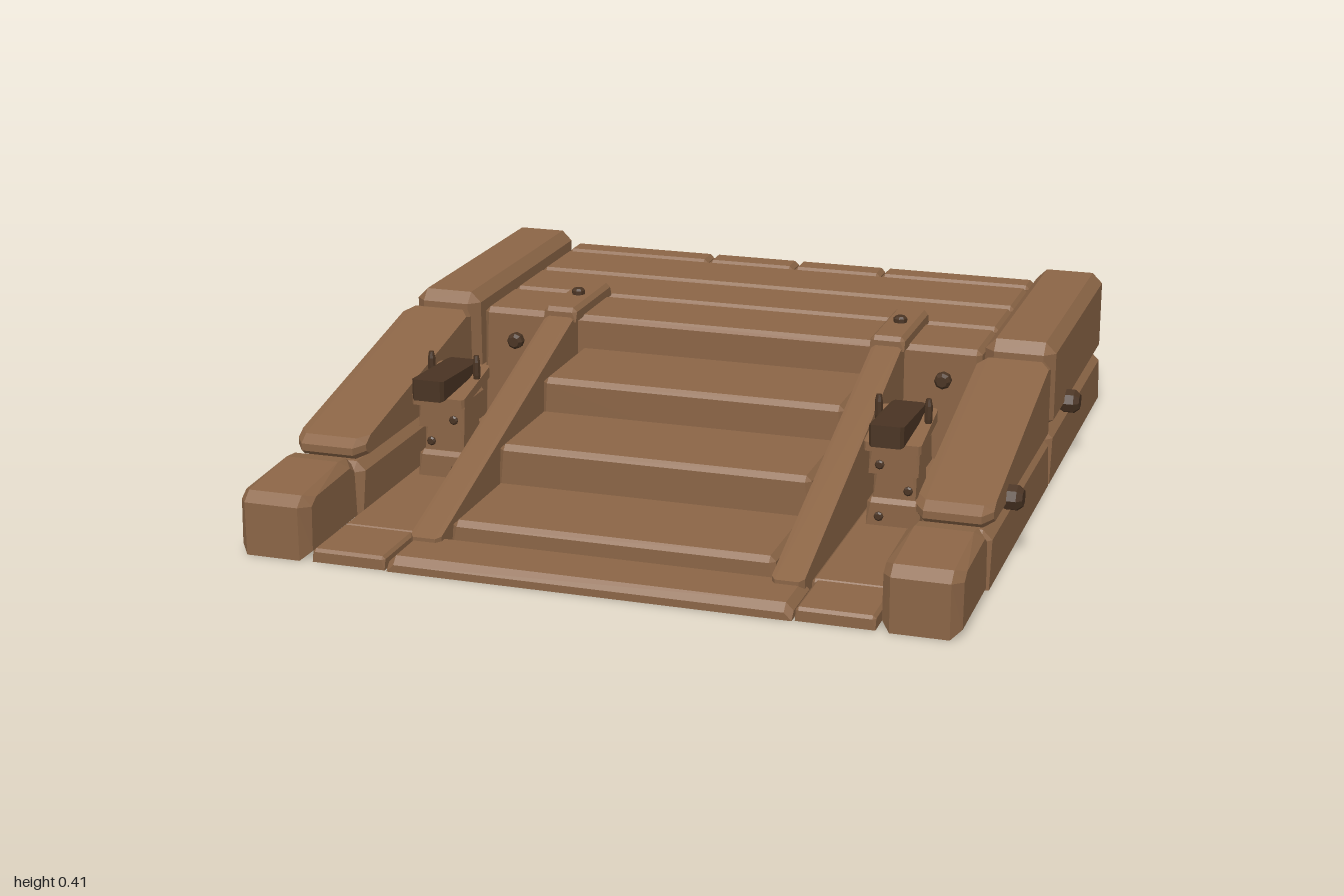
import * as THREE from 'three';
import { ConvexGeometry } from 'three/addons/geometries/ConvexGeometry.js';

const wood = new THREE.MeshStandardMaterial({ color: 0x8b6546, flatShading: true });
wood.name = 'brown wood';
const dark = new THREE.MeshStandardMaterial({ color: 0x4a3423, flatShading: true });
dark.name = 'dark wood';

export function createModel() {
  const model = new THREE.Group();

  function add(name, geometry, material = wood, parent = model) {
    const mesh = new THREE.Mesh(geometry, material);
    mesh.name = name;
    parent.add(mesh);
    return mesh;
  }

  // Box with chamfered edges; the bottom chamfer can be left out
  function block(name, [x0, x1], [y0, y1], [z0, z1], c = 0.015, cb = 0, material = wood, parent = model) {
    const pts = [];
    for (const i of [0, 1]) for (const j of [0, 1]) for (const k of [0, 1]) {
      const x = i ? x1 : x0, y = j ? y1 : y0, z = k ? z1 : z0;
      const dx = i ? -c : c, dz = k ? -c : c, dy = j ? -c : cb;
      const end = j || cb ? 1 : 0;
      pts.push(new THREE.Vector3(x + dx * end, y, z + dz * end));
      pts.push(new THREE.Vector3(x, y + dy, z + dz), new THREE.Vector3(x + dx, y + dy, z));
    }
    return add(name, new ConvexGeometry(pts), material, parent);
  }

  // Convex [z, y] profile swept across x, with its ends shrunk by c
  function prism(name, profile, [x0, x1], c, material = wood, parent = model) {
    const cz = profile.reduce((s, p) => s + p[0], 0) / profile.length;
    const cy = profile.reduce((s, p) => s + p[1], 0) / profile.length;
    const pts = [];
    for (const [z, y] of profile) {
      const d = new THREE.Vector2(cz - z, cy - y).normalize().multiplyScalar(c * 1.4);
      pts.push(new THREE.Vector3(x0 + c, y, z), new THREE.Vector3(x1 - c, y, z));
      if (c > 0) {
        pts.push(new THREE.Vector3(x0, y + d.y, z + d.x), new THREE.Vector3(x1, y + d.y, z + d.x));
      }
    }
    return add(name, new ConvexGeometry(pts), material, parent);
  }

  // Faceted bolt with a bevelled head, along the given axis
  function bolt(name, [x, y, z], r, length, axis, parent = model) {
    const h = length / 2;
    const profile = [[0, -h], [r * 0.75, -h], [r, -h * 0.5], [r, h * 0.5], [r * 0.65, h], [0, h]]
      .map(p => new THREE.Vector2(...p));
    const mesh = add(name, new THREE.LatheGeometry(profile, 8), dark, parent);
    if (axis === 'x') mesh.rotation.z = x > 0 ? -Math.PI / 2 : Math.PI / 2;
    if (axis === 'z') mesh.rotation.x = Math.PI / 2;
    mesh.position.set(x, y, z);
  }

  // Platform beams
  for (const z of [[-0.9, -0.67], [-0.66, -0.44], [-0.43, -0.2]]) {
    block('platformBeam', [-0.75, 0.75], [0, 0.36], z);
  }

  // Back edging in two staggered courses
  const courses = [
    { y: [0, 0.155], joints: [-0.75, -0.5, 0, 0.5, 0.75] },
    { y: [0.16, 0.36], joints: [-0.75, -0.28, 0, 0.28, 0.75] },
  ];
  for (const { y, joints } of courses) {
    for (let i = 0; i < 4; i++) {
      block('backEdging', [joints[i] + 0.002, joints[i + 1] - 0.002], y, [-1, -0.91], 0.012);
    }
  }

  // Stairs and front sill
  [0.27, 0.18, 0.08].forEach((top, i) => {
    const z = -0.19 + i * 0.335;
    block('step', [-0.44, 0.44], [0, top], [z, z + 0.325]);
  });
  block('frontSill', [-0.54, 0.54], [0, 0.04], [0.815, 1], 0.02);

  for (const s of [-1, 1]) {
    const span = (a, b) => (s > 0 ? [a, b] : [-b, -a]);
    const side = new THREE.Group();
    side.name = s > 0 ? 'leftSide' : 'rightSide';
    model.add(side);

    // Side wall: front block, lower course, upper block and sloping block
    const wallX = span(0.76, 0.96);
    prism('wallFrontBlock', [[1, 0], [1, 0.145], [0.97, 0.17], [0.75, 0.188], [0.7, 0.182],
      [0.67, 0.155], [0.67, 0]], wallX, 0.025, wood, side);
    block('wallLowerBlock', wallX, [0, 0.152], [-0.155, 0.66], 0.025, 0, wood, side);
    block('wallLowerBlock', wallX, [0, 0.152], [-1, -0.17], 0.025, 0, wood, side);
    block('wallUpperBlock', wallX, [0.16, 0.403], [-1, -0.17], 0.03, 0.02, wood, side);
    prism('wallSlopingBlock', [[0.64, 0.16], [0.66, 0.175], [0.66, 0.195], [0.63, 0.215],
      [-0.12, 0.37], [-0.155, 0.36], [-0.155, 0.16]], wallX, 0.025, wood, side);

    // Wall bolts
    for (const z of [0.44, -0.4]) bolt('wallBolt', [s * 0.97, 0.175, z], 0.035, 0.06, 'x', side);

    // Floor beside the stairs
    block('sideFloor', span(0.537, 0.75), [0, 0.036], [-0.19, 0.805], 0.008, 0, wood, side);
    block('sideFloorFront', span(0.547, 0.75), [0, 0.036], [0.8, 0.995], 0.008, 0, wood, side);
    bolt('platformBolt', [s * 0.645, 0.27, -0.185], 0.024, 0.04, 'z', side);

    // Sloping stringer with its cap plate
    prism('stairStringer', [[0.87, 0], [0.87, 0.05], [-0.15, 0.37], [-0.195, 0.37], [-0.195, 0]],
      span(0.447, 0.533), 0.012, wood, side);
    block('stringerCap', span(0.44, 0.54), [0.355, 0.395], [-0.455, -0.145], 0.012, 0, wood, side);
    bolt('capBolt', [s * 0.49, 0.4, -0.305], 0.02, 0.025, 'y', side);

    // Bracket: stacked post, tilted rest, lever and pins
    const bracket = new THREE.Group();
    bracket.name = 'bracket';
    side.add(bracket);
    block('bracketBase', span(0.57, 0.715), [0.03, 0.11], [0.23, 0.385], 0.012, 0, wood, bracket);
    block('bracketPost', span(0.585, 0.7), [0.1, 0.19], [0.245, 0.37], 0.01, 0, wood, bracket);
    block('bracketHead', span(0.575, 0.71), [0.18, 0.265], [0.23, 0.385], 0.01, 0, wood, bracket);
    prism('leverRest', [[0.41, 0.25], [0.41, 0.275], [0.21, 0.318], [0.21, 0.285]],
      span(0.565, 0.72), 0.006, wood, bracket);
    prism('lever', [[0.48, 0.287], [0.48, 0.347], [0.215, 0.333], [0.215, 0.303]],
      span(0.595, 0.688), 0.008, dark, bracket);
    for (const x of [0.575, 0.71]) bolt('leverPin', [s * x, 0.33, 0.285], 0.011, 0.075, 'y', bracket);
    for (const [x, y, z] of [[0.605, 0.062, 0.385], [0.68, 0.135, 0.37], [0.605, 0.207, 0.385]]) {
      bolt('bracketBolt', [s * x, y, z], 0.013, 0.016, 'z', bracket);
    }
  }
  return model;
}
